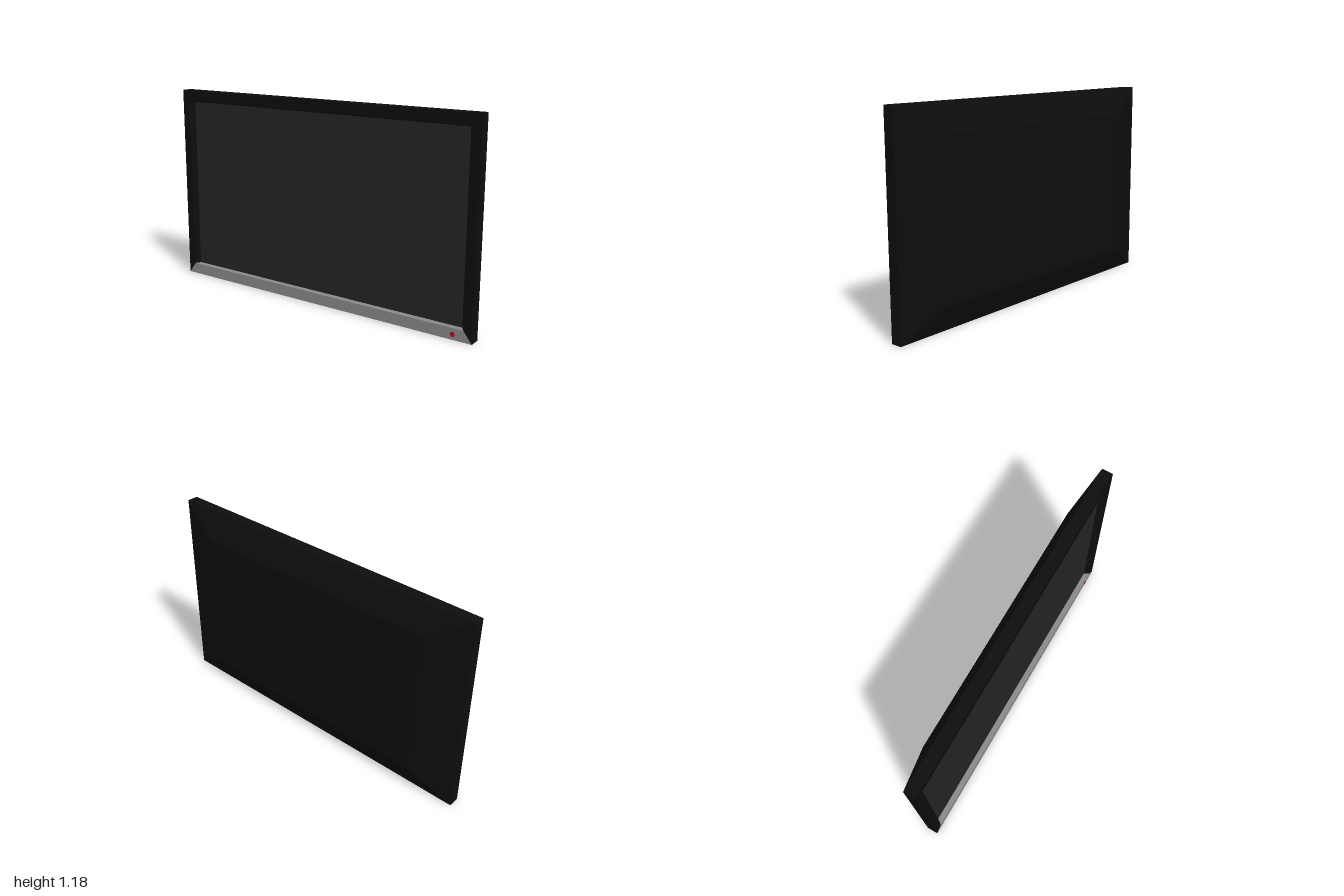
import * as THREE from 'three';

const paint = (color) => new THREE.MeshStandardMaterial({ color, flatShading: true });

// Rectangular cross-section, counter-clockwise from the front, starting bottom right-hand corner (-x)
const ring = (x, y0, y1, z) => [[-x, y0, z], [x, y0, z], [x, y1, z], [-x, y1, z]];

// Skin successive rings; sides: 0 bottom, 1 +x, 2 top, 3 -x
function loft(rings, sides = [0, 1, 2, 3], capBack = false) {
  const pos = [];
  const quad = (a, b, c, d) => pos.push(...a, ...b, ...c, ...a, ...c, ...d);
  for (let i = 0; i + 1 < rings.length; i++) {
    for (const s of sides) {
      const n = (s + 1) % 4;
      quad(rings[i][s], rings[i][n], rings[i + 1][n], rings[i + 1][s]);
    }
  }
  if (capBack) quad(...[...rings[0]].reverse());
  const geo = new THREE.BufferGeometry();
  geo.setAttribute('position', new THREE.Float32BufferAttribute(pos, 3));
  geo.computeVertexNormals();
  return geo;
}

export function createModel() {
  const group = new THREE.Group();
  group.name = 'flatTelevision';
  const add = (name, geo, material) => {
    const mesh = new THREE.Mesh(geo, material);
    mesh.name = name;
    group.add(mesh);
    return mesh;
  };

  const black = paint(0x0d0d0d);
  const silver = paint(0x888888);

  const back = ring(0.75, 0.153, 1.025, -0.065);
  const rim = ring(1, 0, 1.177, 0);
  const front = ring(1, 0, 1.177, 0.065);
  const opening = ring(0.95, 0.065, 1.115, 0.065);
  const recess = ring(0.93, 0.067, 1.105, 0.035);

  // Casing with tapered back
  add('casing', loft([back, rim, front], undefined, true), black);

  // Mitred bezel: black sides and top, silver bottom strip
  add('bezel', loft([front, opening, recess], [1, 2, 3]), black);
  add('bottomStrip', loft([front, opening, recess], [0]), silver);

  // Recessed screen
  const screen = add('screen', new THREE.PlaneGeometry(1.86, 1.038), paint(0x242424));
  screen.position.set(0, 0.586, 0.035);

  // Standby light
  const light = add('standbyLight', new THREE.CylinderGeometry(0.013, 0.013, 0.008, 24), paint(0xb00020));
  light.rotation.x = Math.PI / 2;
  light.position.set(0.89, 0.031, 0.065);

  return group;
}
